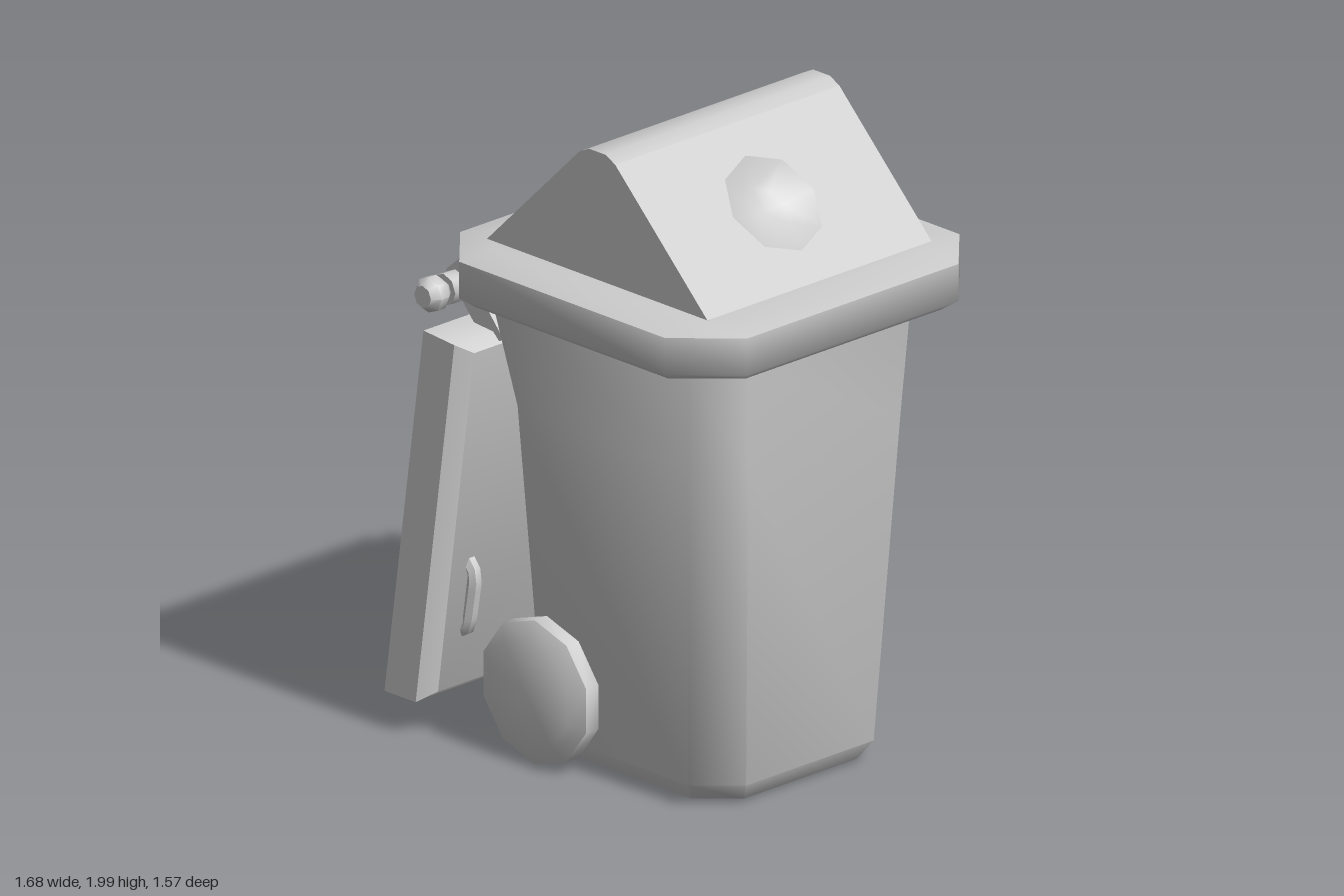
import * as THREE from 'three';
import { toCreasedNormals } from 'three/addons/utils/BufferGeometryUtils.js';

const material = new THREE.MeshStandardMaterial({ color: 0xcccccc, side: THREE.DoubleSide });

function add(parent, name, geometry, crease = 0.9) {
  const mesh = new THREE.Mesh(toCreasedNormals(geometry, crease), material);
  mesh.name = name;
  parent.add(mesh);
  return mesh;
}

// Closed skin over a series of rings with equal point counts, capped at both ends
function loft(rings) {
  const n = rings[0].length;
  const pos = rings.flat(2);
  const index = [];
  for (let i = 0; i < rings.length - 1; i++) {
    for (let j = 0; j < n; j++) {
      const a = i * n + j, b = i * n + (j + 1) % n;
      index.push(a, b, a + n, b, b + n, a + n);
    }
  }
  const last = (rings.length - 1) * n;
  for (let j = 1; j < n - 1; j++) {
    index.push(0, j + 1, j, last, last + j, last + j + 1);
  }
  const g = new THREE.BufferGeometry();
  g.setAttribute('position', new THREE.Float32BufferAttribute(pos, 3));
  g.setIndex(index);
  return g;
}

// Horizontal rectangle with cut corners; backX optionally moves the rear edge
function octagon(y, hx, hz, c, backX = -hx) {
  const ix = hx - c, iz = hz - c;
  return [[hx, y, iz], [hx, y, -iz], [ix, y, -hz], [-ix, y, -hz],
    [backX, y, -iz], [backX, y, iz], [-ix, y, hz], [ix, y, hz]];
}

// Ring of the leaning rear panel, at a depth in front of its back plane
function panelRing(hz, y0, y1, depth) {
  const at = (s, y) => {
    const t = (y - 0.12) / 1.16;
    return [-0.79 + 0.14 * t + depth, y, s * hz * (1 - 0.04 * t)];
  };
  return [at(1, y0), at(1, y1), at(-1, y1), at(-1, y0)];
}

function buildLid(bin) {
  const lid = new THREE.Group();
  lid.name = 'lid';
  bin.add(lid);

  add(lid, 'lidRim', loft([
    octagon(1.43, 0.56, 0.56, 0.16), octagon(1.46, 0.6, 0.6, 0.17),
    octagon(1.575, 0.6, 0.6, 0.17), octagon(1.6, 0.5, 0.5, 0.1),
  ]), 1.2);

  // Gabled roof: two slopes with a round dent each, ridge cap and end walls
  const half = 0.457, length = 0.541, lean = Math.atan2(0.385, 0.38), r = 0.165;
  for (const turn of [0, Math.PI]) {
    const slope = new THREE.Shape([
      new THREE.Vector2(-half, 0), new THREE.Vector2(half, 0),
      new THREE.Vector2(half, length), new THREE.Vector2(-half, length)]);
    const rim = [];
    for (let k = 0; k < 8; k++) {
      const a = k * Math.PI / 4;
      rim.push(new THREE.Vector2(r * Math.cos(a), 0.27 + r * Math.sin(a)));
    }
    slope.holes.push(new THREE.Path(rim));
    const dent = new THREE.LatheGeometry([[0, -0.06], [0.08, -0.052], [r, 0]]
      .map(p => new THREE.Vector2(...p)), 8);
    dent.rotateX(Math.PI / 2).translate(0, 0.27, 0);
    for (const [name, g] of [['lidSlope', new THREE.ShapeGeometry(slope)], ['lidDent', dent]]) {
      g.rotateX(-lean).rotateY(Math.PI / 2).translate(0.46, 1.6, 0).rotateY(turn);
      add(lid, name, g);
    }
    const gable = new THREE.Shape([[-0.46, 1.6], [0.46, 1.6], [0.075, 1.98], [-0.075, 1.98]]
      .map(p => new THREE.Vector2(...p)));
    add(lid, 'lidGable', new THREE.ShapeGeometry(gable).translate(0, 0, half).rotateY(turn));
  }
  const cap = new THREE.Shape([[-0.075, 1.98], [0.075, 1.98], [0.035, 2], [-0.035, 2]]
    .map(p => new THREE.Vector2(...p)));
  add(lid, 'lidRidge', new THREE.ExtrudeGeometry(cap, { depth: 2 * half, bevelEnabled: false })
    .translate(0, 0, -half));
}

function buildHandle(bin) {
  const handle = new THREE.Group();
  handle.name = 'handle';
  bin.add(handle);
  const rod = (name, radius, len, z) => add(handle, name,
    new THREE.CylinderGeometry(radius, radius, len, 8).rotateX(Math.PI / 2).translate(-0.67, 1.375, z));
  rod('handleBar', 0.03, 0.94, 0);
  for (const s of [-1, 1]) {
    rod('handleCollar', 0.05, 0.05, s * 0.405);
    // Rounded knob on the end of the bar
    const knob = new THREE.LatheGeometry([[0, -0.04], [0.035, -0.04], [0.055, -0.015],
      [0.055, 0.015], [0.035, 0.04], [0, 0.04]].map(p => new THREE.Vector2(...p)), 8);
    add(handle, 'handleKnob', knob.rotateX(Math.PI / 2).translate(-0.67, 1.375, s * 0.475));
    // Arm sloping from the bar down to the body
    const arm = add(handle, 'handleArm', new THREE.BoxGeometry(0.27, 0.08, 0.045));
    arm.position.set(-0.6, 1.335, s * 0.35);
    arm.rotation.z = -0.85;
  }
}

export function createModel() {
  const model = new THREE.Group();
  const bin = new THREE.Group();
  bin.name = 'wheeledBin';
  bin.position.set(0.113, 0, 0.053);
  bin.rotation.y = -0.445;
  model.add(bin);

  // Tapered body, flared at the upper rear
  add(bin, 'body', loft([
    octagon(0.02, 0.38, 0.34, 0.11), octagon(0.08, 0.42, 0.38, 0.12),
    octagon(1.1, 0.48, 0.435, 0.125), octagon(1.43, 0.5, 0.455, 0.125, -0.6),
  ]));

  buildLid(bin);
  buildHandle(bin);

  // Rear panel, hollowed on its back
  add(bin, 'rearPanel', loft([
    panelRing(0.5, 0.15, 1.24, 0.165), panelRing(0.553, 0.12, 1.27, 0.13),
    panelRing(0.553, 0.12, 1.28, 0), panelRing(0.53, 0.145, 1.26, 0),
    panelRing(0.5, 0.18, 1.23, 0.03), panelRing(0.4, 0.35, 1.12, 0.1),
  ]));

  const axle = new THREE.CylinderGeometry(0.03, 0.03, 0.8, 8).rotateX(Math.PI / 2);
  add(bin, 'axle', axle.translate(-0.263, 0.235, 0));

  for (const s of [-1, 1]) {
    // Wheels with rounded edges
    const wheel = add(bin, 'wheel', new THREE.LatheGeometry([[0, -0.06], [0.17, -0.06],
      [0.225, -0.025], [0.225, 0.025], [0.17, 0.055], [0, 0.06]]
      .map(p => new THREE.Vector2(...p)), 10));
    wheel.position.set(-0.263, 0.235, s * 0.43);
    wheel.rotation.x = s * Math.PI / 2;

    // Small grips on the front of the rear panel
    const path = new THREE.CurvePath();
    const pts = [[-0.62, 0.59], [-0.557, 0.51], [-0.585, 0.34], [-0.665, 0.29]]
      .map(([x, y]) => new THREE.Vector3(x, y, s * 0.41));
    for (let i = 0; i < 3; i++) path.add(new THREE.LineCurve3(pts[i], pts[i + 1]));
    add(bin, 'panelGrip', new THREE.TubeGeometry(path, 12, 0.022, 6));
  }
  return model;
}
